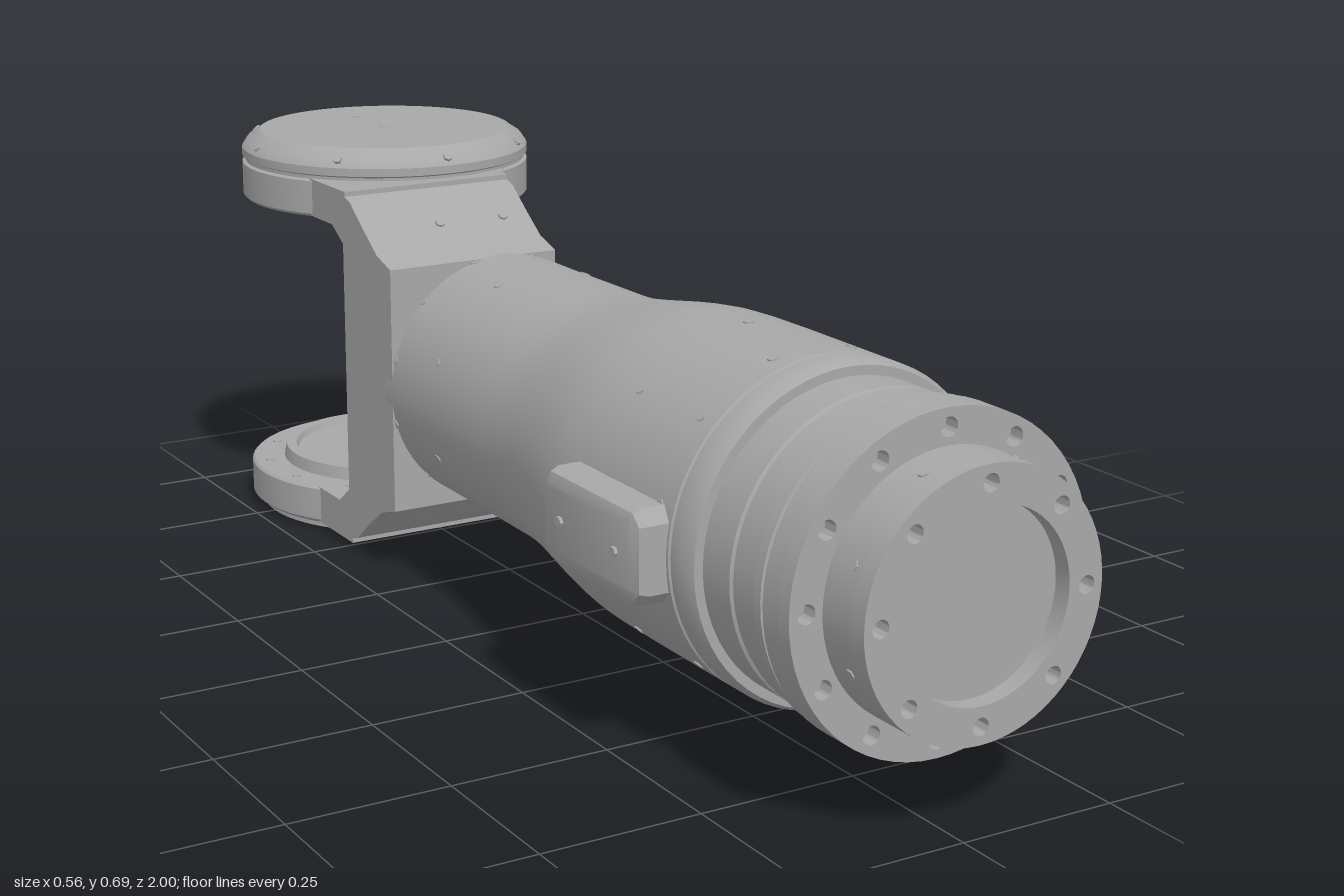
import * as THREE from 'three';
import { toCreasedNormals } from 'three/addons/utils/BufferGeometryUtils.js';

const CX = 0.02, CY = 0.327;   // axis of the tube body
const DZ = -0.745;             // centre of the joint discs

export function createModel() {
  const model = new THREE.Group();
  const grey = new THREE.MeshStandardMaterial({ color: 0xa8a8a8 });
  grey.name = 'castGrey';

  function add(name, geometry) {
    const mesh = new THREE.Mesh(toCreasedNormals(geometry, 0.55), grey);
    mesh.name = name;
    model.add(mesh);
    return mesh;
  }
  const lathe = (pts, segs = 64) =>
    new THREE.LatheGeometry(pts.map(p => new THREE.Vector2(p[0], p[1])), segs);
  const alongZ = g => g.rotateX(Math.PI / 2).translate(CX, CY, 0);
  const extrude = (shape, depth) =>
    new THREE.ExtrudeGeometry(shape, { depth, bevelEnabled: false, curveSegments: 32 });
  const polygon = pts => new THREE.Shape(pts.map(p => new THREE.Vector2(p[0], p[1])));

  // Flat ring with a central opening and evenly spaced bolt holes
  function boltRing(outer, inner, boltR, count, holeR, depth) {
    const s = new THREE.Shape().absarc(0, 0, outer, 0, Math.PI * 2);
    s.holes.push(new THREE.Path().absarc(0, 0, inner, 0, Math.PI * 2, true));
    for (let i = 0; i < count; i++) {
      const a = (i / count) * Math.PI * 2;
      s.holes.push(new THREE.Path().absarc(Math.cos(a) * boltR, Math.sin(a) * boltR, holeR, 0, Math.PI * 2, true));
    }
    return extrude(s, depth);
  }

  // Small hexagonal screw heads
  const up = new THREE.Vector3(0, 1, 0);
  const head = new THREE.CylinderGeometry(0.008, 0.009, 0.01, 6).toNonIndexed();
  head.computeVertexNormals();
  function screw(x, y, z, nx, ny, nz) {
    const m = new THREE.Mesh(head, grey);
    m.name = 'screw';
    m.position.set(x, y, z);
    m.quaternion.setFromUnitVectors(up, new THREE.Vector3(nx, ny, nz).normalize());
    model.add(m);
  }
  function screwRing(z, r, count, offset, keep = () => true) {
    for (let i = 0; i < count; i++) {
      const a = (i + offset) / count * Math.PI * 2, c = Math.cos(a), s = Math.sin(a);
      if (keep(c)) screw(CX + c * r, CY + s * r, z, c, s, 0);
    }
  }

  // Tube body: swelling front half, slimmer rear
  const profile = [[0, -0.335], [0.205, -0.335], [0.211, -0.328]];
  for (let z = -0.315; z < -0.18; z += 0.015) profile.push([0.211, z]);
  profile.push([0.212, -0.1], [0.213, 0.02]);
  for (let i = 1; i <= 8; i++) {
    const t = i / 8;
    profile.push([0.213 + 0.041 * t * t * (3 - 2 * t), 0.02 + 0.34 * t]);
  }
  profile.push([0.255, 0.45], [0.255, 0.635], [0.252, 0.637], [0.252, 0.643], [0.255, 0.645],
    [0.255, 0.675], [0.248, 0.69], [0.234, 0.69], [0.234, 0.755], [0.230, 0.758], [0.230, 0.767],
    [0.234, 0.77], [0.234, 0.82], [0.242, 0.825], [0.242, 0.84], [0.236, 0.842], [0.236, 0.848],
    [0.245, 0.85], [0.245, 0.885], [0, 0.885]);
  const body = alongZ(lathe(profile));
  // Slanted cut on the left side at the rear
  const p = body.attributes.position;
  for (let i = 0; i < p.count; i++) {
    const z = p.getZ(i);
    if (z < -0.19) p.setX(i, Math.min(p.getX(i), 0.23 - (-0.2 - z) * 0.8));
  }
  add('tubeBody', body);

  // Front flange and end collar, both drilled
  add('frontFlange', boltRing(0.245, 0.18, 0.218, 12, 0.014, 0.025).translate(CX, CY, 0.885));
  add('endCollar', alongZ(lathe([[0.193, 0.885], [0.193, 0.985], [0, 0.985]].map((q, i) => i ? [q[0], q[1] - 0.013] : q))));
  add('endRing', boltRing(0.193, 0.138, 0.167, 8, 0.013, 0.028).translate(CX, CY, 0.972));

  // Side connector cover
  const cover = polygon([[0.38, 0.255], [0.61, 0.255], [0.63, 0.275], [0.63, 0.375],
    [0.61, 0.395], [0.38, 0.395], [0.36, 0.375], [0.36, 0.275]]);
  add('sideCover', new THREE.ExtrudeGeometry(cover, {
    depth: 0.06, bevelThickness: 0.02, bevelSize: 0.02, bevelOffset: -0.02, bevelSegments: 2,
  }).rotateY(-Math.PI / 2).translate(-0.2, 0, 0));
  for (const z of [0.42, 0.57]) screw(-0.28, 0.325, z, -1, 0, 0);

  // Fork web, a C section swept across the width
  const web = polygon([[0.3, 0.535], [0.35, 0.55], [0.4, 0.585], [0.45, 0.622], [0.5, 0.636],
    [0.52, 0.57], [0.48, 0.545], [0.39, 0.5], [0.39, 0.155], [0.48, 0.11], [0.52, 0.08],
    [0.5, 0.015], [0.45, 0.03], [0.4, 0.07], [0.35, 0.105], [0.3, 0.12]]);
  add('forkWeb', extrude(web, 0.31).rotateY(Math.PI / 2).translate(-0.19, 0, 0));

  // Frame around the pocket in the back of the fork
  const frame = polygon([[-0.19, 0.11], [0.12, 0.11], [0.12, 0.545], [-0.19, 0.545]]);
  frame.holes.push(new THREE.Path([[-0.1, 0.16], [0.03, 0.16], [0.07, 0.21], [0.07, 0.445],
    [0.03, 0.495], [-0.1, 0.495], [-0.14, 0.445], [-0.14, 0.21]].map(q => new THREE.Vector2(q[0], q[1]))));
  add('pocketFrame', extrude(frame, 0.09).translate(0, 0, -0.48));

  // Arms blending the fork into the discs
  const arm = new THREE.Shape();
  arm.moveTo(-0.19, 0.47);
  arm.lineTo(0.12, 0.47);
  arm.quadraticCurveTo(0.125, 0.52, 0.17, 0.551);
  arm.absarc(CX, -DZ, 0.245, Math.atan2(-0.194, 0.15), Math.atan2(-0.126, -0.21), true);
  arm.closePath();
  for (const [name, y] of [['lowerArm', 0.015], ['upperArm', 0.571]])
    add(name, extrude(arm, 0.065).rotateX(-Math.PI / 2).translate(0, y, 0));

  // Upper joint disc, hollow underneath, with bevelled cap
  add('upperDisc', lathe([[0, 0.645], [0.2, 0.645], [0.205, 0.615], [0.218, 0.612], [0.218, 0.57],
    [0.25, 0.57], [0.255, 0.575], [0.255, 0.632], [0.249, 0.635], [0.249, 0.641], [0.255, 0.644],
    [0.255, 0.658], [0.245, 0.673], [0.222, 0.688], [0, 0.688]]).translate(CX, 0, DZ));
  for (let i = 0; i < 8; i++) {
    const a = i / 8 * Math.PI * 2, c = Math.cos(a), s = Math.sin(a);
    screw(CX + c * 0.245, 0.67, DZ + s * 0.245, c, 1, s);
  }
  for (const z of [DZ, -0.86]) screw(CX, 0.684, z, 0, 1, 0);

  // Lower joint disc with raised rim, and drilled plate beneath
  add('lowerDisc', lathe([[0, 0.045], [0.13, 0.045], [0.13, 0.012], [0.245, 0.012], [0.255, 0.02],
    [0.255, 0.076], [0.251, 0.08], [0.196, 0.08], [0.192, 0.102], [0.174, 0.102], [0.17, 0.092],
    [0, 0.092]]).translate(CX, 0, DZ));
  add('bottomPlate', boltRing(0.235, 0.13, 0.19, 12, 0.014, 0.012).rotateX(-Math.PI / 2).translate(CX, 0, DZ));
  for (let i = 0; i < 12; i++) {
    const a = (i + 0.5) / 12 * Math.PI * 2;
    screw(CX + Math.cos(a) * 0.225, 0.077, DZ + Math.sin(a) * 0.225, 0, 1, 0);
  }

  // Rows of screws around the tube
  screwRing(0.6, 0.252, 12, 0.5);
  screwRing(0.44, 0.252, 8, 0);
  screwRing(-0.165, 0.208, 8, 0.5);
  screwRing(-0.3, 0.208, 12, 0.5, c => c < 0.4);
  screwRing(0.955, 0.19, 8, 0.5);
  for (const x of [-0.05, 0.07]) screw(x, 0.58, -0.395, 0, 0.8, 0.6);

  return model;
}
